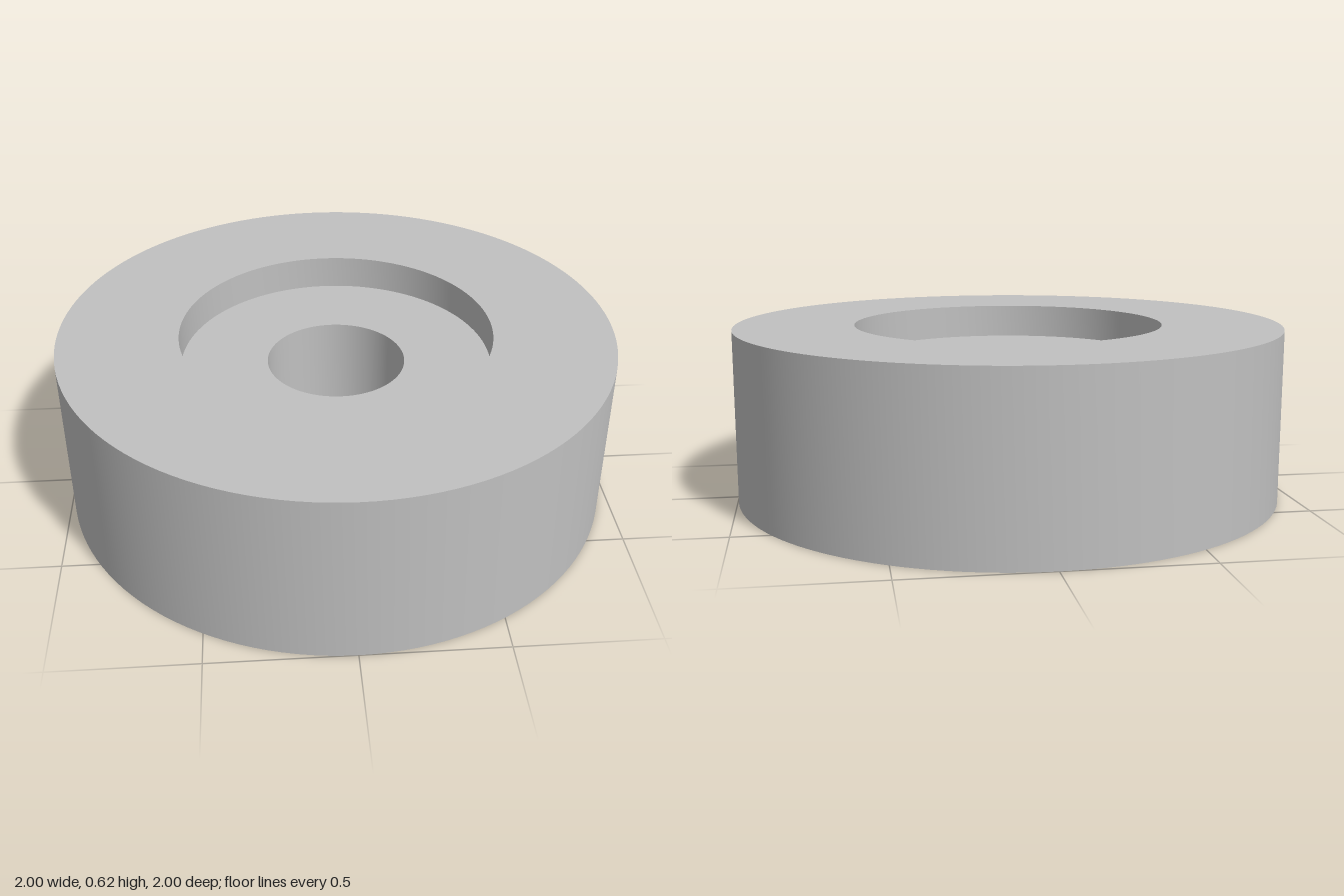
import * as THREE from 'three';
import { toCreasedNormals } from 'three/addons/utils/BufferGeometryUtils.js';

export function createModel() {
  const group = new THREE.Group();
  group.name = 'counterboredRoller';

  const grey = new THREE.MeshStandardMaterial({ color: 0xc0c0c0 });
  grey.name = 'grey';

  const outer = 1, recess = 0.565, bore = 0.25;
  const height = 0.625, depth = 0.125;

  // Closed section: outer wall, top recess, bore, bottom recess
  const profile = [
    [outer, 0], [outer, height],
    [recess, height], [recess, height - depth],
    [bore, height - depth], [bore, depth],
    [recess, depth], [recess, 0],
    [outer, 0],
  ].map(([r, y]) => new THREE.Vector2(r, y));

  // Smooth round walls with sharp rims
  const geometry = toCreasedNormals(new THREE.LatheGeometry(profile, 128), Math.PI / 6);
  const body = new THREE.Mesh(geometry, grey);
  body.name = 'rollerBody';
  group.add(body);

  return group;
}
